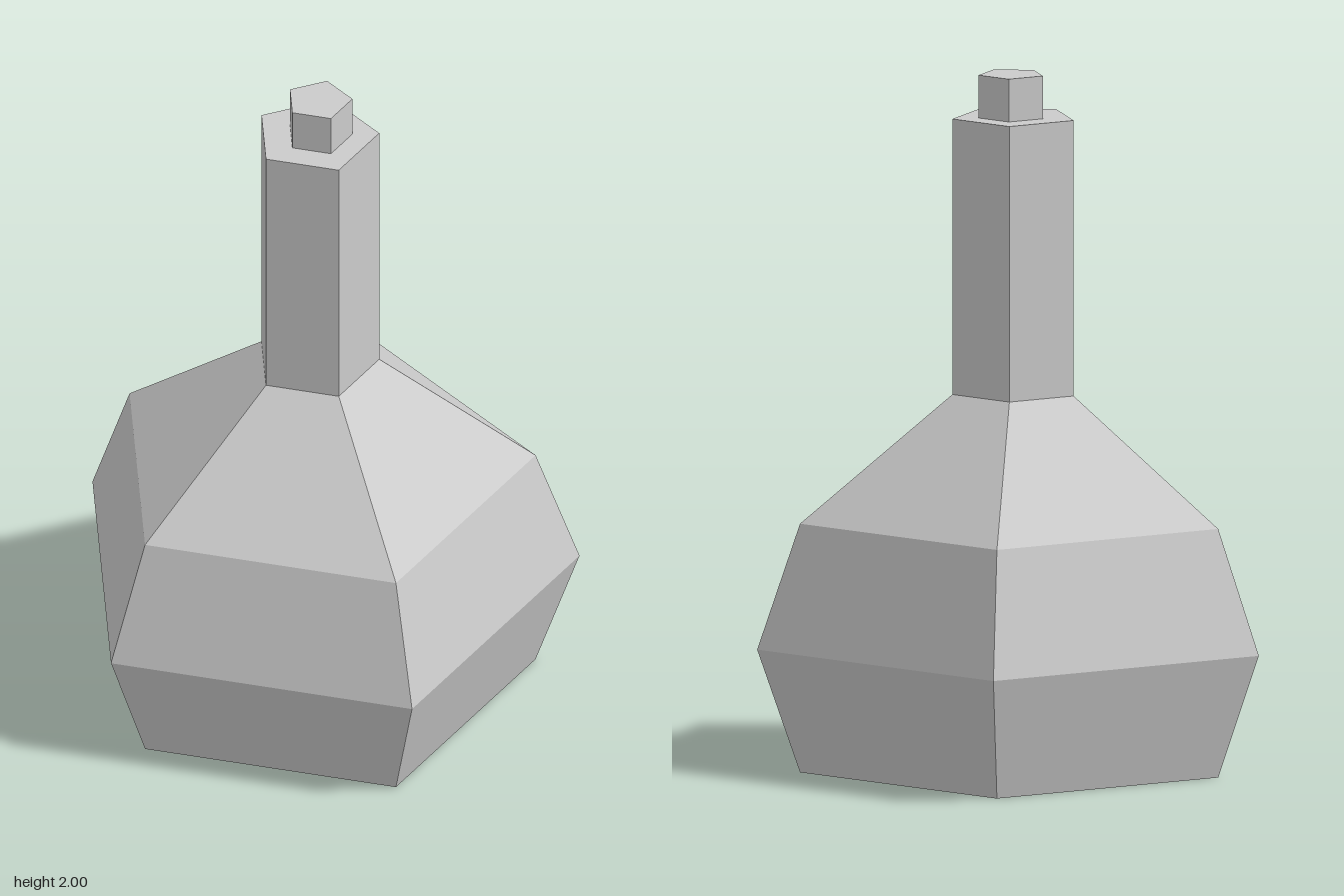
import * as THREE from 'three';

const material = new THREE.MeshStandardMaterial({ color: 0xcccccc, flatShading: true });

// Five-sided turned part with one corner pointing along +x
function pentagonPart(name, profile, x) {
  const points = profile.map(([r, y]) => new THREE.Vector2(r, y));
  const geometry = new THREE.LatheGeometry(points, 5, Math.PI / 2).toNonIndexed();
  geometry.computeVertexNormals();
  const mesh = new THREE.Mesh(geometry, material);
  mesh.name = name;
  mesh.position.x = x;
  return mesh;
}

export function createModel() {
  const group = new THREE.Group();
  group.name = 'bottle';

  // Bulbous body with shoulder and straight neck, closed at both ends
  group.add(pentagonPart('flask', [
    [0, 0], [0.631, 0], [0.757, 0.36], [0.631, 0.72],
    [0.183, 1.078], [0.183, 1.876], [0, 1.876],
  ], -0.072));

  // Small stopper, seated slightly off centre
  group.add(pentagonPart('stopper', [
    [0, 1.876], [0.097, 1.876], [0.097, 2], [0, 2],
  ], -0.063));

  return group;
}
